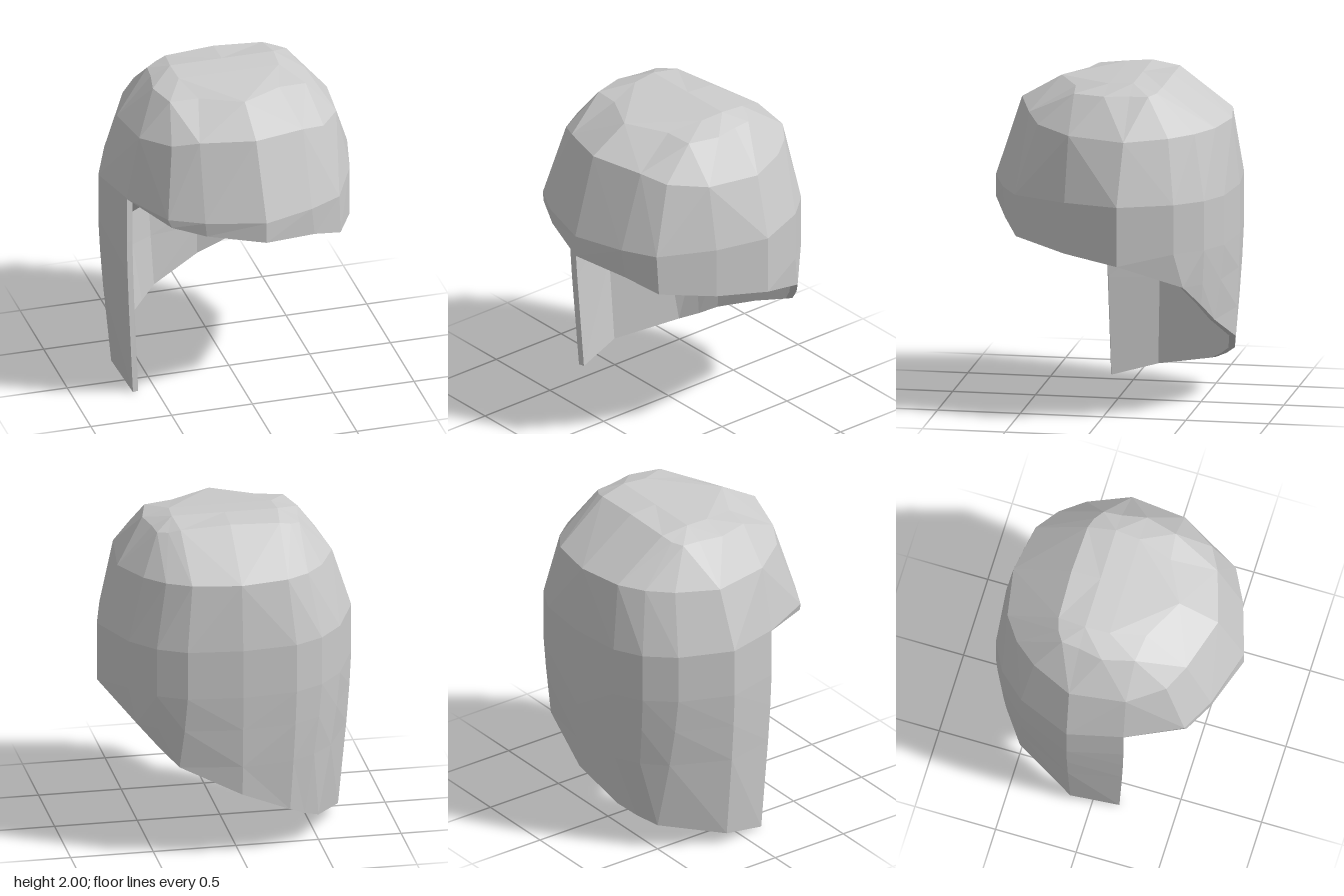
import * as THREE from 'three';

// Half of the crown, front to back: four rings of [x, y, z] per column.
// Order: roof edge, upper ring, brow ring, widest ring.
const HALF = [
  [[0, 1.99, 0], [0, 1.96, .34], [0, 1.82, .58], [.02, 1.34, .735]],
  [[.31, 1.99, 0], [.25, 1.955, .21], [.32, 1.8, .48], [.33, 1.34, .635]],
  [[.31, 1.99, 0], [.42, 1.945, .19], [.47, 1.76, .4], [.53, 1.34, .53]],
  [[.31, 1.99, 0], [.47, 1.945, 0], [.61, 1.73, .19], [.69, 1.34, .2]],
  [[.32, 2, -.15], [.44, 1.945, -.15], [.65, 1.71, -.15], [.77, 1.34, -.13]],
  [[.32, 2, -.15], [.43, 1.945, -.26], [.54, 1.72, -.4], [.64, 1.34, -.45]],
  [[.32, 2, -.15], [.37, 1.955, -.3], [.43, 1.73, -.54], [.5, 1.34, -.61]],
  [[.3, 1.975, -.32], [.3, 1.975, -.32], [.29, 1.74, -.64], [.33, 1.34, -.7]],
  [[0, 1.99, -.33], [0, 1.99, -.33], [0, 1.74, -.69], [0, 1.34, -.735]],
];

// Sweeping lower edge: [half column, mirror sign, x, y, z, top of inside wall]
// Without a last value the ceiling starts right at the hem.
const HEM = [
  [0, 1, .02, 1.21, .735], [1, 1, .35, 1.16, .62], [2, 1, .54, 1.09, .52],
  [3, 1, .69, 1.03, .2], [4, 1, .77, .98, -.13], [5, 1, .6, .83, -.5],
  [6, 1, .48, .7, -.59, .83], [7, 1, .37, .59, -.65, .83], [8, 1, 0, .41, -.71, .72],
  [7, -1, -.3, .27, -.65, .83], [6, -1, -.4, .21, -.58, .83], [5, -1, -.5, .16, -.5, .83],
  [4, -1, -.69, .07, -.13, 1.04], [3, -1, -.64, 0, .16, 1.335],
  [3, -1, -.69, 1.335, .2], [2, -1, -.51, 1.29, .54], [1, -1, -.32, 1.25, .63],
];
const FRONT_EDGE = 13; // column where the long side panel ends
const WIDEST = 4;      // outer row index of the widest ring
const LOWER_ROWS = [1.04, .83, .59, -1];

// Point of a column at a given height below the widest ring
function wallPoint([index, sign, x, y, z], row) {
  const hem = new THREE.Vector3(x, y, z);
  if (row <= y) return hem;
  const [ax, , az] = HALF[index][3];
  const t = Math.max(0, (1.04 - row) / (1.04 - y)) ** 1.3;
  const p = new THREE.Vector3(ax * sign, row, az).lerp(hem, t);
  p.y = row;
  return p;
}

// Full outer column from the roof centre down to the hem
function outerColumn(column) {
  const [index, sign] = column;
  const rings = HALF[index].map(([x, y, z]) => new THREE.Vector3(x * sign, y, z));
  const lower = LOWER_ROWS.map((row) => wallPoint(column, row));
  return [new THREE.Vector3(0, 2, -.15), ...rings, ...lower];
}

// Inner column: ceiling spine, ceiling ridge, then the wall down to the hem
function innerColumn(column) {
  const [index, sign, , y, , top = y] = column;
  const [ax, , az] = HALF[index][3];
  const z = THREE.MathUtils.clamp(az, -.6, .3);
  const height = .84 + (z + .6) * .8;
  const wall = [top, ...LOWER_ROWS.map((row) => Math.min(row, top))].map((row) => {
    const p = wallPoint(column, row);
    return p.set(p.x * .945, p.y, p.z * .945);
  });
  return [
    new THREE.Vector3(0, height, z),
    new THREE.Vector3(Math.min(ax, .32) * sign, height, z),
    ...wall,
  ];
}

function facetedMesh(name, build) {
  const points = [];
  const tri = (a, b, c) => {
    const area = b.clone().sub(a).cross(c.clone().sub(a)).length();
    if (area > 1e-6) points.push(a, b, c);
  };
  build((a, b, c, d) => { tri(a, b, c); tri(a, c, d); });
  const geometry = new THREE.BufferGeometry().setFromPoints(points);
  geometry.computeVertexNormals();
  const mesh = new THREE.Mesh(geometry, new THREE.MeshStandardMaterial({
    color: 0xcccccc, flatShading: true, side: THREE.DoubleSide,
  }));
  mesh.name = name;
  return mesh;
}

export function createModel() {
  const group = new THREE.Group();
  group.name = 'sweptHelmetShell';
  const outer = HEM.map(outerColumn);
  const inner = HEM.map(innerColumn);
  const count = HEM.length;

  // Visit neighbouring columns, skipping the upright edge of the side panel
  const eachStrip = (columns, visit) => {
    for (let i = 0; i < count; i++) {
      if (i !== FRONT_EDGE) visit(columns[i], columns[(i + 1) % count]);
    }
  };

  // Outer crown, fringe, back and side panel; each facet folds outwards
  const centre = new THREE.Vector3(0, 1, 0);
  const reach = (p, q) => p.clone().add(q).multiplyScalar(.5).distanceTo(centre);
  group.add(facetedMesh('outerShell', (quad) => eachStrip(outer, (a, b) => {
    for (let k = 0; k < a.length - 1; k++) {
      if (reach(a[k], b[k + 1]) > reach(a[k + 1], b[k])) {
        quad(a[k], a[k + 1], b[k + 1], b[k]);
      } else {
        quad(a[k + 1], b[k + 1], b[k], a[k]);
      }
    }
  })));

  // Inside wall and vaulted ceiling
  group.add(facetedMesh('innerLining', (quad) => eachStrip(inner, (a, b) => {
    for (let k = 0; k < a.length - 1; k++) quad(a[k], b[k], b[k + 1], a[k + 1]);
  })));

  // Rim joining both walls, including the upright edge of the side panel
  group.add(facetedMesh('hemRim', (quad) => {
    for (let i = 0; i < count; i++) {
      const j = (i + 1) % count;
      if (i !== FRONT_EDGE) {
        quad(outer[i].at(-1), inner[i].at(-1), inner[j].at(-1), outer[j].at(-1));
      }
    }
    const o = outer[FRONT_EDGE].slice(WIDEST);
    const n = inner[FRONT_EDGE].slice(2);
    for (let k = 0; k < o.length - 1; k++) quad(o[k + 1], n[k + 1], n[k], o[k]);
  }));
  return group;
}
